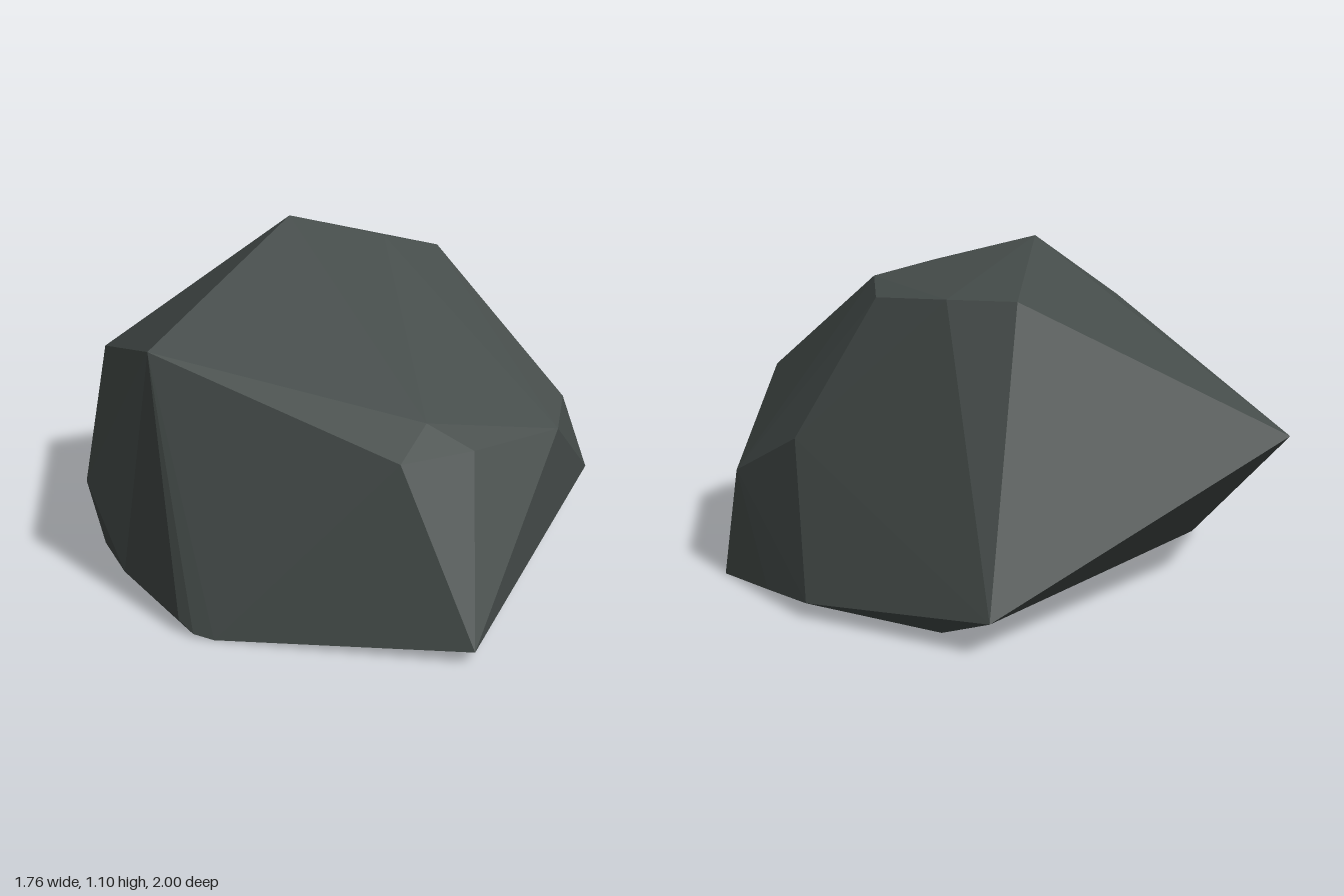
import * as THREE from 'three';
import { ConvexGeometry } from 'three/addons/geometries/ConvexGeometry.js';

const v = (x, y, z) => new THREE.Vector3(x, y, z);

export function createModel() {
  const group = new THREE.Group();
  group.name = 'boulder';
  const stone = new THREE.MeshStandardMaterial({ color: 0x434a48 });
  stone.name = 'darkStone';

  // Corners shared by the main stone and its side bulge
  const backCorner = v(-0.82, 0.51, -0.73);
  const shoulder = v(-0.67, 0.82, 0.43);
  const sideFoot = [v(-0.80, 0, -0.07), v(-0.82, 0, 0.07), v(-0.78, 0, 0.23)];

  // Top cap
  const cap = [
    v(-0.15, 1.10, -0.21), v(0.18, 1.025, -0.175), v(0.38, 0.98, -0.20),
    v(0.40, 0.93, -0.36), v(0.22, 0.94, -0.55), v(0.03, 0.94, -0.65),
  ];
  // Front slope and lip
  const front = [
    v(0.45, 0.87, -0.06), v(0.65, 0.60, 0.42), v(0.58, 0.55, 0.58),
    v(0.27, 0.55, 0.72), v(0.14, 0.62, 0.65), v(0.03, 0.55, 0.79),
    v(0.21, 0.04, 1.00),
  ];
  // Left flank and rear tip
  const flank = [
    v(0.66, 0.50, -0.36), v(0.83, 0.34, -0.09), v(0.78, 0.31, 0.33),
    v(0.88, 0, -0.13), v(0.76, 0.025, -0.38), v(0.66, 0.045, -0.58),
    v(0.20, 0.10, -1.00),
  ];
  // Foot resting on the ground
  const foot = [
    v(0.29, 0, -0.79), v(-0.52, 0, 0.73), v(-0.58, 0.01, 0.70),
    v(-0.62, 0.04, 0.66), v(-0.61, 0, 0.61),
  ];

  const addStone = (name, points) => {
    const mesh = new THREE.Mesh(new ConvexGeometry(points), stone);
    mesh.name = name;
    group.add(mesh);
  };

  addStone('mainStone', [...cap, ...front, ...flank, ...foot, backCorner, shoulder, ...sideFoot]);

  // Bulge on the right side, leaving a shallow groove beside the front corner
  addStone('sideBulge', [
    backCorner, shoulder, ...sideFoot,
    v(-0.885, 0.32, 0.19), v(-0.84, 0.05, 0.10),
    v(-0.30, 0.30, 0),
  ]);

  return group;
}
